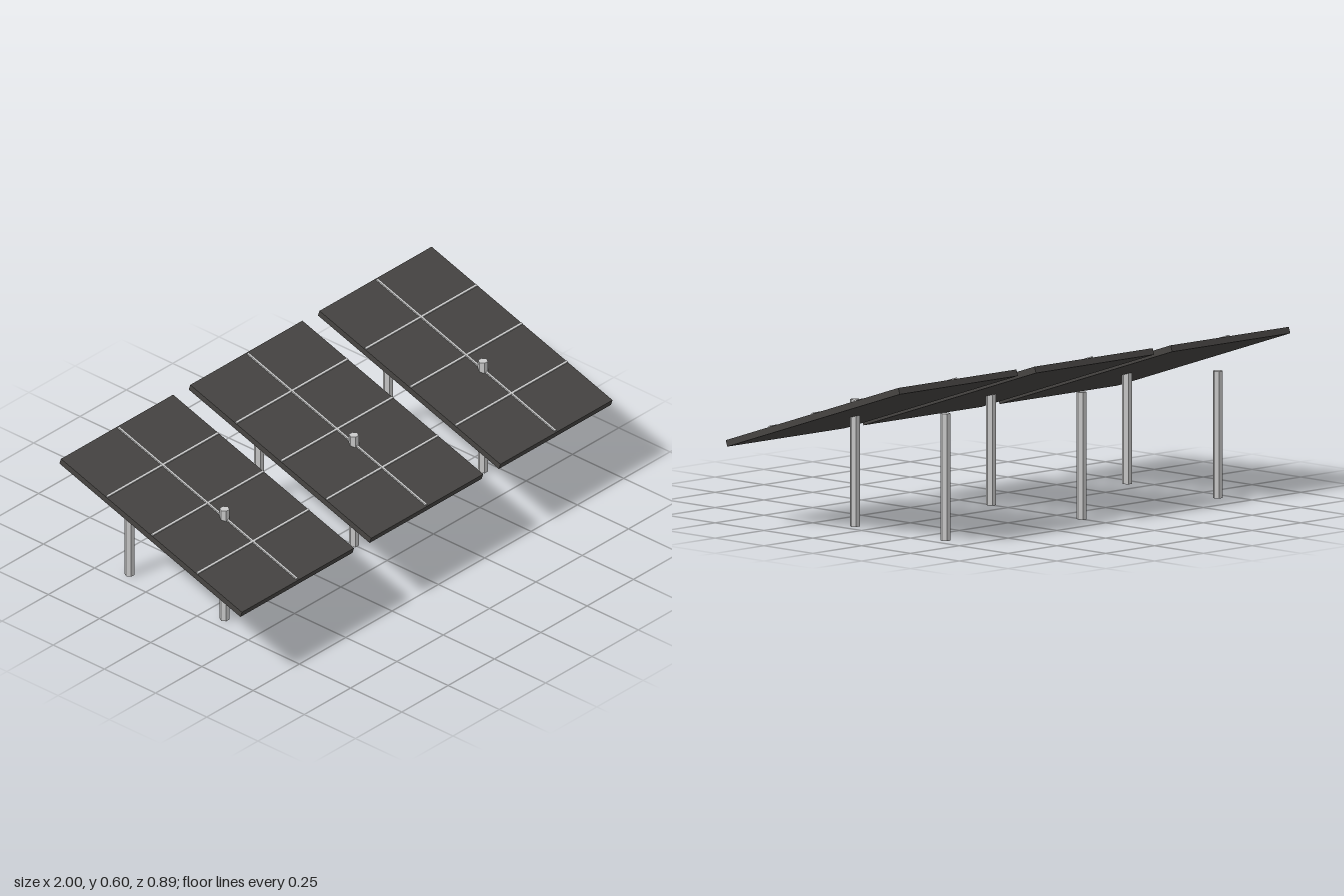
import * as THREE from 'three';

export function createModel() {
  const model = new THREE.Group();
  model.name = 'solarPanelArray';

  const metal = new THREE.MeshStandardMaterial({ color: 0xcccccc, flatShading: true });
  const dark = new THREE.MeshStandardMaterial({ color: 0x464442, flatShading: true });

  const width = 0.605, length = 0.93, thickness = 0.024;
  const stripWidth = 0.009, stripHeight = 0.005;
  const poleHeight = 0.466, poleRadius = 0.0185;

  const slabGeo = new THREE.BoxGeometry(width, thickness, length);
  const spineGeo = new THREE.BoxGeometry(stripWidth, stripHeight, 0.918);
  const crossGeo = new THREE.BoxGeometry(width - 0.004, stripHeight, stripWidth);
  // Hexagonal pole with corners facing left and right
  const poleGeo = new THREE.CylinderGeometry(poleRadius, poleRadius, poleHeight, 6);
  poleGeo.rotateY(Math.PI / 2);

  function add(parent, name, geometry, material, x, y, z) {
    const mesh = new THREE.Mesh(geometry, material);
    mesh.name = name;
    mesh.position.set(x, y, z);
    parent.add(mesh);
  }

  for (const x of [-0.6975, 0, 0.6975]) {
    const unit = new THREE.Group();
    unit.name = 'solarUnit';
    unit.position.x = x;
    model.add(unit);

    // Tilted panel, low edge at the front
    const panel = new THREE.Group();
    panel.name = 'panel';
    panel.position.y = 0.443;
    panel.rotation.x = THREE.MathUtils.degToRad(18.2);
    unit.add(panel);
    add(panel, 'slab', slabGeo, dark, 0, 0, 0);

    // Dividing strips on the upper face
    const top = thickness / 2 + stripHeight / 2;
    add(panel, 'lengthStrip', spineGeo, metal, 0, top, 0);
    for (const z of [-0.232, 0, 0.232]) add(panel, 'crossStrip', crossGeo, metal, 0, top - 0.0005, z);

    // Support poles; the front one passes through the panel
    add(unit, 'frontPole', poleGeo, metal, 0, poleHeight / 2, 0.087);
    add(unit, 'backPole', poleGeo, metal, 0, poleHeight / 2, -0.377);
  }
  return model;
}
